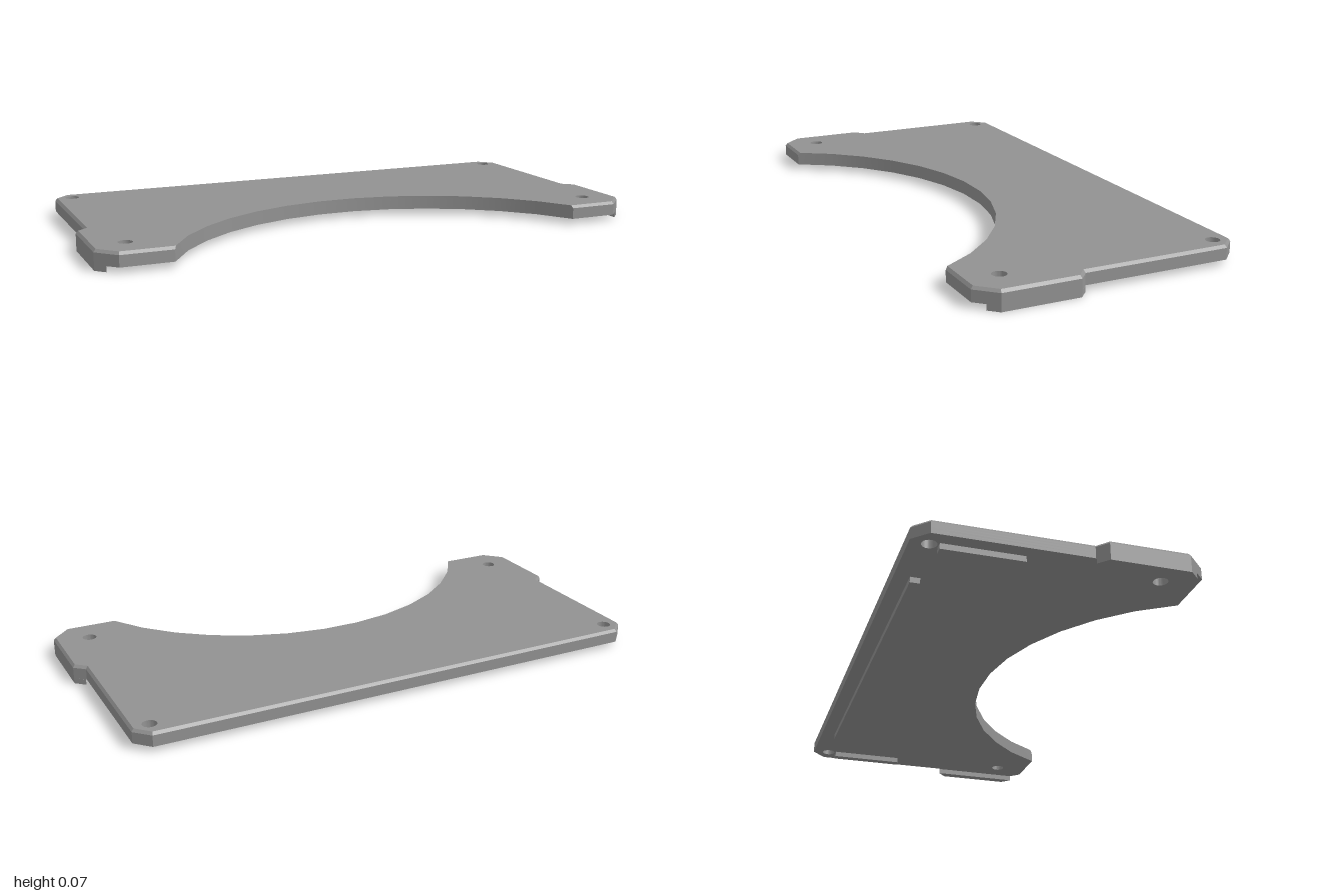
import * as THREE from 'three';
import { toCreasedNormals } from 'three/addons/utils/BufferGeometryUtils.js';

const material = new THREE.MeshStandardMaterial({ color: 0x929292 });
const UNDERSIDE = 0.02, TOP = 0.07;

// Half outline from back to front: x, z, then x, z of the bevelled top edge
const EDGE = [
  [0.912, -0.475, 0.909, -0.467],
  [0.963, -0.423, 0.955, -0.42],
  [0.963, 0.103, 0.955, 0.107],
  [1.0, 0.136, 0.992, 0.14],
  [1.0, 0.408, 0.992, 0.405],
  [0.935, 0.475, 0.932, 0.467],
  [0.755, 0.475, 0.75, 0.467],
];

// Centres (x, z) of the screw holes
const HOLES = [[-0.9, -0.412], [0.9, -0.412], [-0.885, 0.354], [0.879, 0.354]];

// Extrude a flat outline (x, -z) upwards from height y
function slab(shape, y, height, steps = 1) {
  const geometry = new THREE.ExtrudeGeometry(shape, { depth: height, steps, bevelEnabled: false, curveSegments: 12 });
  return geometry.rotateX(-Math.PI / 2).translate(0, y, 0);
}

function plateGeometry() {
  const points = EDGE.map(([x, z]) => new THREE.Vector2(x, -z));

  // Circular cut-out in the front edge, 13 facets
  const centre = 0.893, radius = 0.865, half = Math.asin(0.755 / radius);
  for (let i = 1; i < 13; i++) {
    const a = half * (1 - (2 * i) / 13);
    points.push(new THREE.Vector2(radius * Math.sin(a), radius * Math.cos(a) - centre));
  }
  [...EDGE].reverse().forEach(([x, z]) => points.push(new THREE.Vector2(-x, -z)));

  // The outline runs clockwise, so the holes run anticlockwise
  const shape = new THREE.Shape(points);
  for (const [x, z] of HOLES) {
    shape.holes.push(new THREE.Path().absarc(x, -z, 0.025, 0, Math.PI * 2, false));
  }

  // Pull the top outline inwards to form the bevel; cut-out and holes stay straight
  const geometry = slab(shape, UNDERSIDE, TOP - UNDERSIDE, 5);
  const p = geometry.attributes.position;
  for (let i = 0; i < p.count; i++) {
    if (p.getY(i) < TOP - 0.001) continue;
    const x = p.getX(i), z = p.getZ(i);
    const match = EDGE.find((e) => Math.hypot(Math.abs(x) - e[0], z - e[1]) < 1e-4);
    if (match) p.setXYZ(i, Math.sign(x) * match[2], TOP, match[3]);
  }
  return toCreasedNormals(geometry, 0.4);
}

export function createModel() {
  const group = new THREE.Group();
  const add = (name, geometry) => {
    const mesh = new THREE.Mesh(geometry, material);
    mesh.name = name;
    group.add(mesh);
    return mesh;
  };

  add('plate', plateGeometry());

  // Long rib under the back edge
  add('backRib', new THREE.BoxGeometry(1.384, UNDERSIDE, 0.034)).position.set(0, UNDERSIDE / 2, -0.406);

  for (const [name, side] of [['left', 1], ['right', -1]]) {
    // Short rib in front of each back hole
    add(name + 'Rib', new THREE.BoxGeometry(0.03, UNDERSIDE, 0.276))
      .position.set(side * 0.9, UNDERSIDE / 2, -0.245);

    // Lip hanging from the outer edge of each front wing
    const lip = new THREE.Shape([[0.966, 0.104], [1, 0.136], [1, 0.408], [0.968, 0.441]]
      .map(([x, z]) => new THREE.Vector2(side * x, -z)));
    add(name + 'Lip', slab(lip, 0, UNDERSIDE));
  }
  return group;
}
